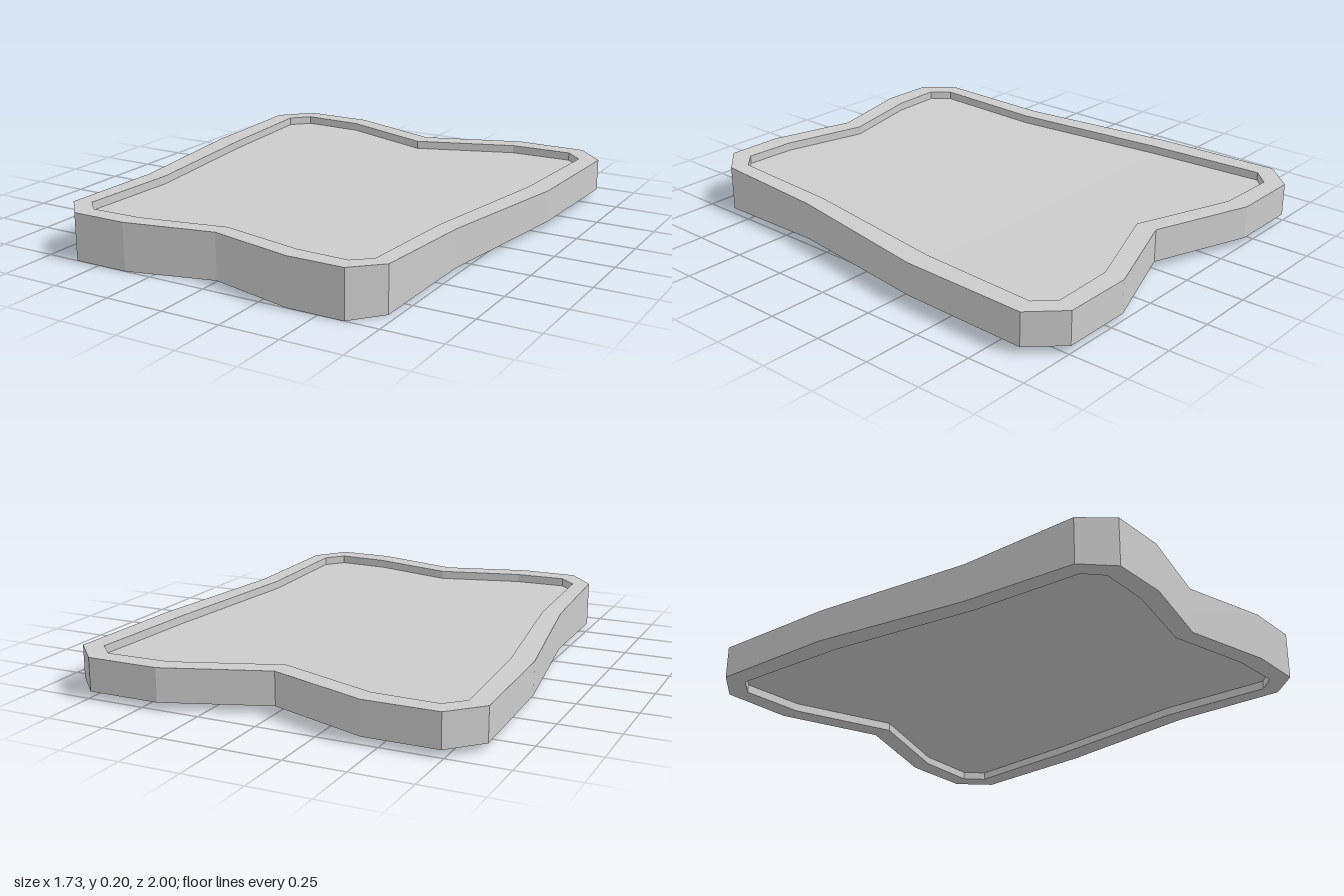
import * as THREE from 'three';

const MID = 0.1;      // height of the symmetry plane
const RECESS = 0.035; // depth of the panel below the rim

// Half outlines [x, z] from the front notch, round the left side, to the back notch
const OUTER = [[0, 0.91], [0.37, 1], [0.61, 1], [0.72, 0.88], [0.74, 0.37],
  [0.845, -0.31], [0.865, -0.87], [0.74, -1], [0.43, -1], [0, -0.845]];
const INNER = [[0, 0.83], [0.36, 0.913], [0.58, 0.92], [0.65, 0.85], [0.66, 0.36],
  [0.75, -0.32], [0.78, -0.845], [0.705, -0.92], [0.43, -0.912], [0, -0.755]];

// Half thickness, growing towards the front
const THICK = [[-1, 0.07], [-0.3, 0.069], [0, 0.0725], [0.37, 0.08], [0.88, 0.096], [1, 0.1]];
function halfThickness(z) {
  for (let i = 1; i < THICK.length; i++) {
    const [z0, h0] = THICK[i - 1], [z1, h1] = THICK[i];
    if (z <= z1) return THREE.MathUtils.mapLinear(z, z0, z1, h0, h1);
  }
  return 0.1;
}

const surface = ([x, z], drop = 0) => [x, halfThickness(z) - drop, z];
const middle = ([x, z]) => [x, 0, z];
const centre = ([, z]) => [0, THREE.MathUtils.clamp(z, -0.755, 0.83)];

// Builds one quarter of quads and mirrors it left/right and top/bottom
function mirroredMesh(name, quads, material) {
  const pos = [];
  for (const sx of [1, -1]) for (const sy of [1, -1]) {
    for (const [a, b, c, d] of quads) {
      const corners = sx * sy > 0 ? [a, b, c, a, c, d] : [a, c, b, a, d, c];
      for (const [x, y, z] of corners) pos.push(x * sx, MID + y * sy, z);
    }
  }
  const geometry = new THREE.BufferGeometry();
  geometry.setAttribute('position', new THREE.Float32BufferAttribute(pos, 3));
  geometry.computeVertexNormals();
  const mesh = new THREE.Mesh(geometry, material);
  mesh.name = name;
  return mesh;
}

export function createModel() {
  const material = new THREE.MeshStandardMaterial({ color: 0xcccccc, flatShading: true });
  const rim = [], panel = [];
  for (let i = 0; i < OUTER.length - 1; i++) {
    const o0 = OUTER[i], o1 = OUTER[i + 1], n0 = INNER[i], n1 = INNER[i + 1];
    // Outer wall, rim face and inner wall
    rim.push([middle(o0), middle(o1), surface(o1), surface(o0)]);
    rim.push([surface(o0), surface(o1), surface(n1), surface(n0)]);
    rim.push([surface(n1, RECESS), surface(n0, RECESS), surface(n0), surface(n1)]);
    // Recessed panel, out to the centre line
    panel.push([surface(n0, RECESS), surface(n1, RECESS),
      surface(centre(n1), RECESS), surface(centre(n0), RECESS)]);
  }
  const group = new THREE.Group();
  group.name = 'plate';
  group.add(mirroredMesh('rim', rim, material), mirroredMesh('recessedPanel', panel, material));
  return group;
}
